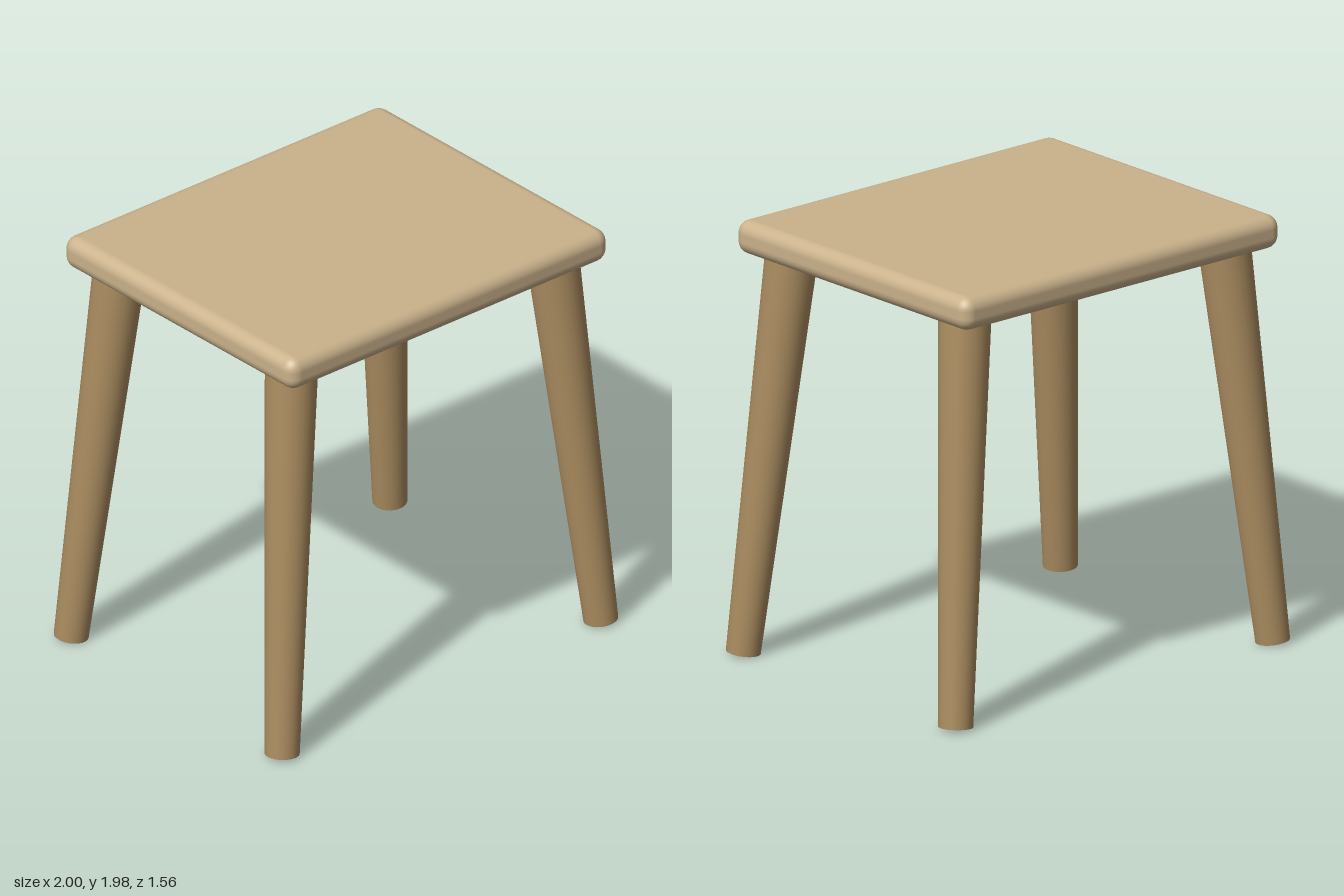
import * as THREE from 'three';
import { RoundedBoxGeometry } from 'three/addons/geometries/RoundedBoxGeometry.js';

export function createModel() {
  const group = new THREE.Group();
  const lightWood = new THREE.MeshStandardMaterial({ color: 0xcab28b });
  lightWood.name = 'lightWood';
  const darkWood = new THREE.MeshStandardMaterial({ color: 0xab8d60 });
  darkWood.name = 'darkWood';

  // Seat: slab with rounded edges
  const seat = new THREE.Mesh(new RoundedBoxGeometry(1.85, 0.155, 1.54, 3, 0.06), lightWood);
  seat.name = 'seat';
  seat.position.y = 1.905;
  group.add(seat);

  // Legs: tapered, splayed outwards towards each corner
  const up = new THREE.Vector3(0, 1, 0);
  for (const [sx, zName, sz] of [[1, 'front', 1], [-1, 'front', 1], [1, 'back', -1], [-1, 'back', -1]]) {
    const foot = new THREE.Vector3(0.923 * sx, 0.009, 0.703 * sz);
    const head = new THREE.Vector3(0.757 * sx, 1.822, 0.574 * sz);
    const axis = head.clone().sub(foot);
    const leg = new THREE.Mesh(new THREE.CylinderGeometry(0.117, 0.077, axis.length(), 32), darkWood);
    leg.name = zName + (sx > 0 ? 'Left' : 'Right') + 'Leg';
    leg.position.copy(foot).add(head).multiplyScalar(0.5);
    leg.quaternion.setFromUnitVectors(up, axis.normalize());
    group.add(leg);
  }
  return group;
}
